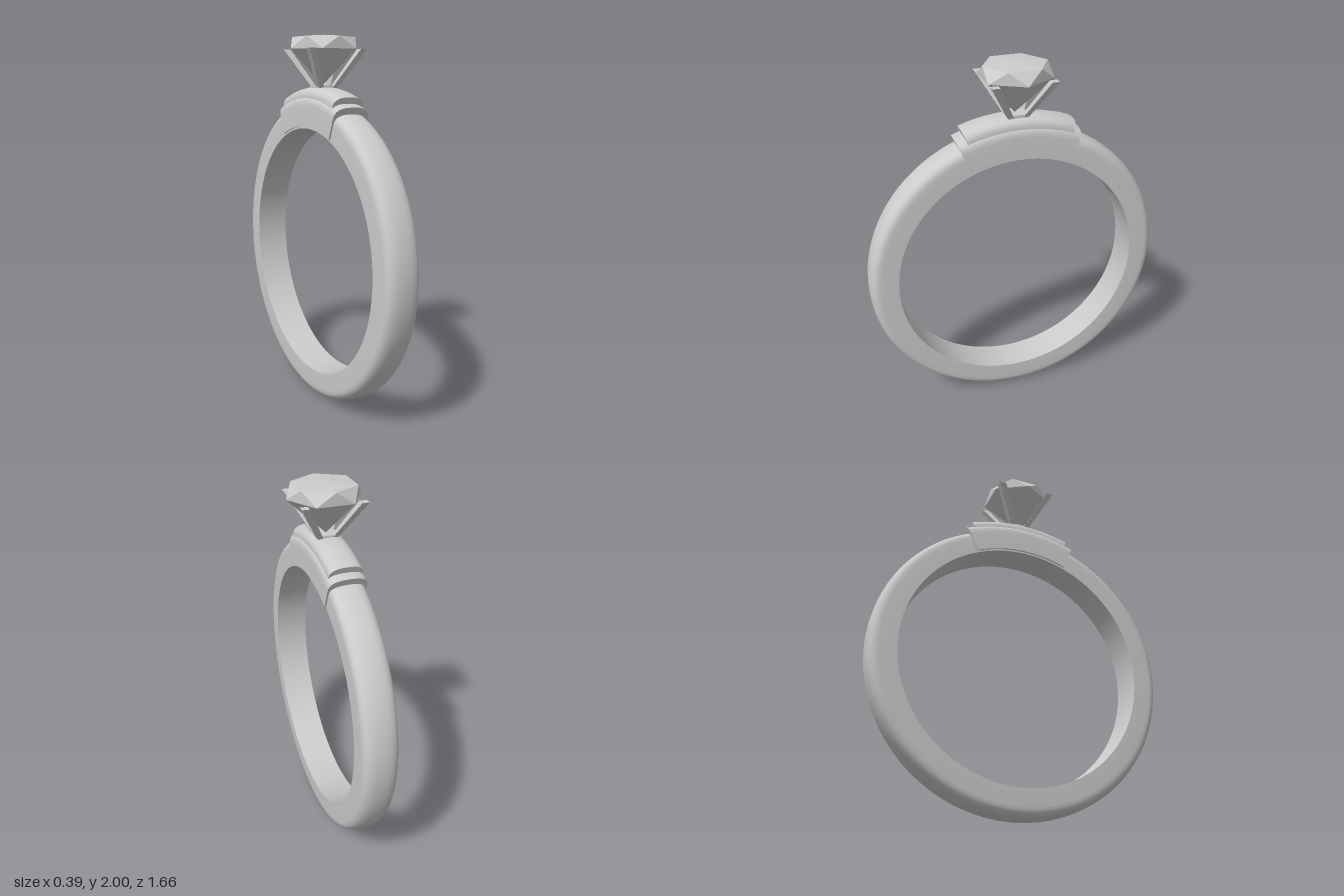
import * as THREE from 'three';
import { toCreasedNormals } from 'three/addons/utils/BufferGeometryUtils.js';
import { ConvexGeometry } from 'three/addons/geometries/ConvexGeometry.js';

const grey = new THREE.MeshStandardMaterial({ color: 0xcccccc });
const greyFlat = new THREE.MeshStandardMaterial({ color: 0xcccccc, flatShading: true });
const greyDouble = new THREE.MeshStandardMaterial({ color: 0xcccccc, side: THREE.DoubleSide });

// Closed D-shaped section: flat bore and sides, domed outside (x = radius, y = width)
function bandSection(inner, shoulder, outer, half) {
  const points = [new THREE.Vector2(inner, -half)];
  const steps = 16;
  for (let i = 0; i <= steps; i++) {
    const a = -Math.PI / 2 + (Math.PI * i) / steps;
    const r = shoulder + (outer - shoulder) * Math.pow(Math.max(Math.cos(a), 0), 0.75);
    points.push(new THREE.Vector2(r, half * Math.sign(Math.sin(a)) * Math.pow(Math.abs(Math.sin(a)), 0.75)));
  }
  points.push(new THREE.Vector2(inner, half), new THREE.Vector2(inner, -half));
  return points;
}

// Sweep a section around the x axis; angles are measured from straight up towards +z
function sweep(name, section, from, to, segments) {
  const group = new THREE.Group();
  group.name = name;
  const start = from - Math.PI / 2;
  const body = new THREE.LatheGeometry(section, segments, start, to - from).rotateZ(-Math.PI / 2);
  const mesh = new THREE.Mesh(toCreasedNormals(body, 0.7), grey);
  mesh.name = name + 'Body';
  group.add(mesh);
  if (to - from < 6.28) {
    for (const angle of [from, to]) {
      const cap = new THREE.ShapeGeometry(new THREE.Shape(section.slice(0, -1)));
      cap.rotateY(angle - Math.PI).rotateZ(-Math.PI / 2);
      const end = new THREE.Mesh(cap, greyDouble);
      end.name = name + 'End';
      group.add(end);
    }
  }
  return group;
}

// Square bar leaning outwards from the seat to the girdle
function prong(sx, sz) {
  const y0 = 1.725, y1 = 1.925;
  const geo = new THREE.BoxGeometry(1, 1, 1);
  const p = geo.attributes.position;
  for (let i = 0; i < p.count; i++) {
    const top = p.getY(i) > 0;
    const size = top ? 0.04 : 0.03;
    const reach = top ? 0.15 : 0.04;
    p.setXYZ(i, sx * reach + p.getX(i) * size - 0.005, top ? y1 : y0, sz * reach + p.getZ(i) * size);
  }
  geo.computeVertexNormals();
  const mesh = new THREE.Mesh(geo, greyFlat);
  mesh.name = 'prong';
  return mesh;
}

export function createModel() {
  const model = new THREE.Group();
  model.name = 'ring';

  // Shank and the two stepped saddles at its top, very slightly turned
  const band = new THREE.Group();
  band.name = 'band';
  band.position.set(-0.015, 0.83, 0);
  band.rotation.set(0, -0.011, -0.004);
  const deg = Math.PI / 180;
  band.add(
    sweep('shank', bandSection(0.68, 0.77, 0.829, 0.093), 0, Math.PI * 2, 128),
    sweep('lowerSaddle', bandSection(0.69, 0.8, 0.866, 0.102), -23.3 * deg, 22 * deg, 32),
    sweep('upperSaddle', bandSection(0.8, 0.84, 0.9, 0.09), -20.3 * deg, 18.8 * deg, 32)
  );
  model.add(band);

  // Setting: seat plate and four prongs
  const setting = new THREE.Group();
  setting.name = 'setting';
  const seat = new THREE.Mesh(new THREE.BoxGeometry(0.11, 0.02, 0.11), grey);
  seat.name = 'seat';
  seat.position.set(-0.008, 1.727, 0);
  setting.add(seat);
  for (const sx of [-1, 1]) for (const sz of [-1, 1]) setting.add(prong(sx, sz));
  model.add(setting);

  // Faceted gem: pointed pavilion, hexagonal girdle, crown turned by half a side
  const points = [new THREE.Vector3(-0.012, 1.735, 0), new THREE.Vector3(-0.003, 2, 0)];
  for (let i = 0; i < 6; i++) {
    const a = (i * Math.PI) / 3;
    const b = a + Math.PI / 6;
    points.push(new THREE.Vector3(0.195 * Math.cos(a) - 0.003, 1.925, 0.195 * Math.sin(a)));
    points.push(new THREE.Vector3(0.168 * Math.cos(b) - 0.003, 1.988, 0.168 * Math.sin(b)));
  }
  const gem = new THREE.Mesh(new ConvexGeometry(points), greyFlat);
  gem.name = 'gem';
  model.add(gem);

  return model;
}
